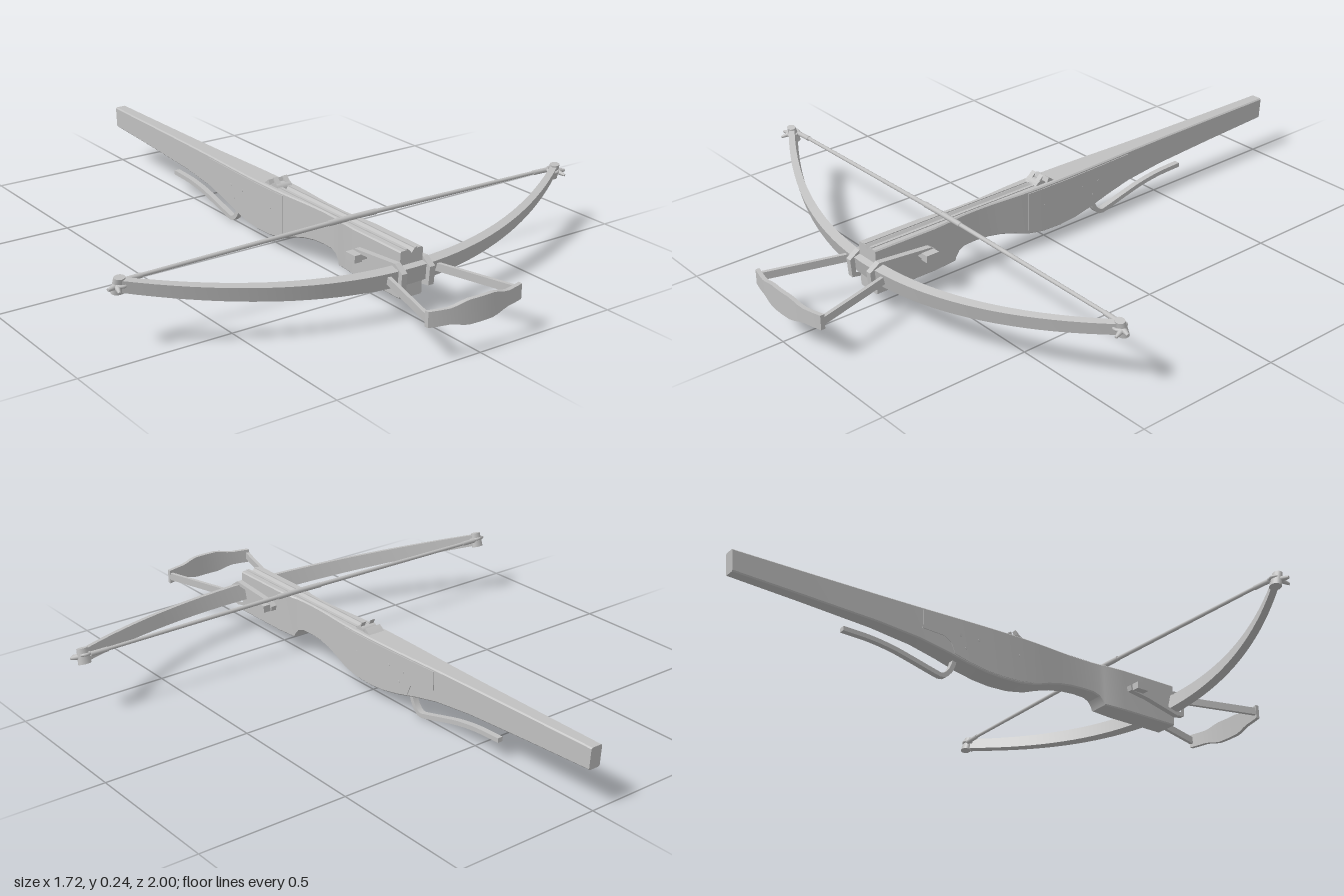
import * as THREE from 'three';
import { toCreasedNormals } from 'three/addons/utils/BufferGeometryUtils.js';

const V = (x, y, z) => new THREE.Vector3(x, y, z);
const CORNERS = [[-1, -1], [1, -1], [1, 1], [-1, 1]];

// Skin over rings of points (counter-clockwise seen from the travel direction), capped at both ends
function loft(rings) {
  const pos = [];
  const tri = (a, b, c) => pos.push(...a.toArray(), ...b.toArray(), ...c.toArray());
  const n = rings[0].length;
  for (let r = 0; r < rings.length - 1; r++) {
    const A = rings[r], B = rings[r + 1];
    for (let i = 0; i < n; i++) {
      const j = (i + 1) % n;
      tri(A[i], A[j], B[j]);
      tri(A[i], B[j], B[i]);
    }
  }
  const S = rings[0], E = rings[rings.length - 1];
  for (let i = 1; i < n - 1; i++) {
    tri(S[0], S[i + 1], S[i]);
    tri(E[0], E[i], E[i + 1]);
  }
  const g = new THREE.BufferGeometry();
  g.setAttribute('position', new THREE.Float32BufferAttribute(pos, 3));
  return toCreasedNormals(g, 0.5);
}

// Flat side profile given as [z, y] points, extruded across x and centred on x = 0
function sideExtrude(outline, width, hole) {
  const flat = (pts) => pts.map(([z, y]) => new THREE.Vector2(-z, y));
  const shape = new THREE.Shape(flat(outline));
  if (hole) shape.holes.push(new THREE.Path(flat(hole)));
  const g = new THREE.ExtrudeGeometry(shape, { depth: width, bevelEnabled: false });
  g.translate(0, 0, -width / 2);
  g.rotateY(Math.PI / 2);
  return toCreasedNormals(g, 0.5);
}

// Stock stations: z, half width, underside height
const STOCK = [
  [-0.995, 0.021, 0.137], [-0.75, 0.024, 0.127], [-0.5, 0.028, 0.115], [-0.35, 0.032, 0.1],
  [-0.25, 0.036, 0.08], [-0.17, 0.039, 0.06], [-0.1, 0.041, 0.048], [-0.04, 0.042, 0.043],
  [0.03, 0.042, 0.045], [0.05, 0.042, 0.048], [0.1, 0.04, 0.057], [0.15, 0.037, 0.075], [0.2, 0.033, 0.089],
  [0.25, 0.03, 0.097], [0.3, 0.029, 0.1], [0.345, 0.03, 0.099], [0.37, 0.032, 0.09],
  [0.385, 0.034, 0.072], [0.39, 0.036, 0.062], [0.47, 0.042, 0.061], [0.69, 0.042, 0.06],
];
const TOP = 0.21;

function stockRing([z, w, b]) {
  const c = 0.004, groove = z > 0.04 ? 0.012 : 0;
  // The butt end leans back a little towards the top
  const zAt = (y) => (z < -0.9 ? z - 0.005 * (y - b) / (TOP - b) : z);
  return [
    [0, TOP - groove], [-0.01, TOP], [-w + c, TOP], [-w, TOP - c], [-w, b + c], [-w + c, b],
    [w - c, b], [w, b + c], [w, TOP - c], [w - c, TOP], [0.01, TOP],
  ].map(([x, y]) => V(x, y, zAt(y)));
}

// Lock cover stations: z, half width, lower edge
const COVER = [
  [-0.34, 0.0325, 0.138], [-0.26, 0.0357, 0.132], [-0.235, 0.0367, 0.115], [-0.22, 0.0372, 0.08],
  [-0.17, 0.039, 0.066], [-0.1, 0.041, 0.053], [-0.04, 0.042, 0.049], [0.03, 0.042, 0.051], [0.085, 0.0406, 0.06],
  [0.1, 0.04, 0.072],
];

export function createModel() {
  const model = new THREE.Group();
  const grey = new THREE.MeshStandardMaterial({ color: 0xc0c0c0 });
  grey.name = 'grey';

  const add = (parent, name, geometry, x = 0, y = 0, z = 0) => {
    const m = new THREE.Mesh(geometry, grey);
    m.name = name;
    m.position.set(x, y, z);
    parent.add(m);
    return m;
  };
  const box = (parent, name, w, h, d, x, y, z) => add(parent, name, new THREE.BoxGeometry(w, h, d), x, y, z);
  // Straight round rod between two points
  const rod = (parent, name, a, b, r1, r2 = r1) => {
    const d = b.clone().sub(a);
    const m = add(parent, name, new THREE.CylinderGeometry(r2, r1, d.length(), 10));
    m.position.copy(a).addScaledVector(d, 0.5);
    m.quaternion.setFromUnitVectors(V(0, 1, 0), d.normalize());
    return m;
  };

  // Stock with a bolt groove on its front half, and a cover standing slightly proud of the lock
  add(model, 'stock', loft(STOCK.map(stockRing)));
  add(model, 'lockCover', loft(COVER.map(([z, w, b]) =>
    CORNERS.map(([sx, sy]) => V(sx * (w + 0.0025), sy < 0 ? b : 0.202, z)))));

  // Raised rails beside the groove
  for (const s of [1, -1]) box(model, 'boltRail', 0.01, 0.004, 0.63, s * 0.017, 0.2105, 0.374);

  // Release nut and rear sight
  const nut = add(model, 'nut', new THREE.CylinderGeometry(0.02, 0.02, 0.056, 20), 0, 0.203, 0.035);
  nut.rotation.z = Math.PI / 2;
  for (const s of [1, -1]) {
    add(model, 'nutClaw', sideExtrude([[0.055, 0.21], [0.025, 0.238], [0.037, 0.21]], 0.018), s * 0.018);
  }
  add(model, 'rearSight', sideExtrude([[0.012, 0.208], [0.004, 0.226], [-0.006, 0.219], [-0.02, 0.208]], 0.06));

  // Pins across the lock
  for (const [z, y, w] of [[0.03, 0.14, 0.091], [-0.13, 0.15, 0.088], [-0.2, 0.15, 0.084], [-0.18, 0.11, 0.085]]) {
    rod(model, 'lockPin', V(-w / 2, y, z), V(w / 2, y, z), 0.005);
  }

  // Long curved trigger lever
  const path = new THREE.CatmullRomCurve3([
    [0.085, -0.2], [0.055, -0.207], [0.027, -0.222], [0.01, -0.245], [0.016, -0.28],
    [0.034, -0.35], [0.053, -0.43], [0.064, -0.51], [0.068, -0.61],
  ].map(([y, z]) => V(0, y, z)));
  const leverRings = path.getSpacedPoints(32).map((p, i) => {
    const t = path.getTangentAt(i / 32);
    const n = V(0, t.z, -t.y).multiplyScalar(0.0075);
    return CORNERS.map(([sx, sn]) => V(sx * 0.01, p.y + n.y * sn, p.z + n.z * sn));
  });
  add(model, 'triggerLever', loft(leverRings));

  // Bow, built flat and then tilted so that the tips rise
  const bow = new THREE.Group();
  bow.name = 'bow';
  bow.position.set(0, 0.137, 0.688);
  bow.rotation.x = 0.255;
  model.add(bow);
  const bowZ = (x) => -0.275 * (x / 0.82) ** 2;
  const limbRings = [];
  for (let i = -20; i <= 20; i++) {
    const x = i * 0.041, k = Math.abs(i) / 20;
    const h = 0.029 - 0.009 * k, t = 0.017 - 0.007 * k;
    const n = V(0.55 * x / 0.82 ** 2, 0, 1).normalize().multiplyScalar(t);
    limbRings.push(CORNERS.map(([sy, sn]) => V(x + n.x * sn, h * sy, bowZ(x) + n.z * sn)));
  }
  add(bow, 'limbs', loft(limbRings));

  // Nocks with small horns at the limb tips
  for (const s of [1, -1]) {
    const tip = V(s * 0.82, 0, bowZ(0.82));
    const knob = add(bow, 'nock', new THREE.CylinderGeometry(0.013, 0.016, 0.05, 16), tip.x, tip.y, tip.z);
    knob.scale.x = 1.4;
    rod(bow, 'outerHorn', tip, V(s * 0.86, 0, tip.z + 0.012), 0.012, 0.005);
    rod(bow, 'frontHorn', V(s * 0.828, 0, tip.z), V(s * 0.838, 0, tip.z + 0.038), 0.011, 0.004);
  }

  // Bowstring with end loops and a served middle
  for (const s of [1, -1]) {
    rod(model, 'string', V(0, 0.219, 0.407), V(s * 0.78, 0.211, 0.41), 0.0075, 0.006);
    rod(model, 'stringServing', V(0, 0.219, 0.407), V(s * 0.09, 0.218, 0.407), 0.009);
    rod(model, 'stringEnd', V(s * 0.74, 0.211, 0.41), V(s * 0.8, 0.21, 0.412), 0.008);
    const loop = add(model, 'stringLoop', new THREE.TorusGeometry(0.018, 0.005, 8, 20), s * 0.815, 0.21, 0.424);
    loop.rotation.x = Math.PI / 2 + 0.255;
  }

  // Iron straps that tie the bow to the stock, with their wedge
  for (const s of [1, -1]) {
    add(model, 'bowStrap', sideExtrude(
      [[0.72, 0.095], [0.725, 0.155], [0.69, 0.178], [0.5, 0.162], [0.482, 0.15], [0.486, 0.133], [0.56, 0.122], [0.69, 0.09]],
      0.02,
      [[0.706, 0.108], [0.708, 0.152], [0.685, 0.165], [0.51, 0.151], [0.505, 0.143], [0.565, 0.134], [0.685, 0.103]],
    ), s * 0.052);
    box(model, 'wedgeHead', 0.028, 0.024, 0.046, s * 0.075, 0.144, 0.514);
  }
  box(model, 'wedge', 0.12, 0.016, 0.03, 0, 0.144, 0.52);

  // Foot stirrup: two arms and a curved tread that widens in the middle
  const stirrup = new THREE.Group();
  stirrup.name = 'stirrup';
  model.add(stirrup);
  for (const s of [1, -1]) {
    const a = V(s * 0.088, 0.137, 0.69), b = V(s * 0.166, 0.137, 0.965);
    const d = b.clone().sub(a);
    const arm = box(stirrup, 'stirrupArm', 0.012, 0.025, d.length(), (a.x + b.x) / 2, 0.137, (a.z + b.z) / 2);
    arm.rotation.y = Math.atan2(d.x, d.z);
  }
  const treadRings = [];
  for (let i = -8; i <= 8; i++) {
    const x = i * 0.0215, z = 0.992 - 0.026 * (i / 8) ** 2;
    const h = 0.024 + 0.014 * THREE.MathUtils.smoothstep(-Math.abs(x), -0.11, -0.04);
    treadRings.push(CORNERS.map(([sy, sz]) => V(x, 0.136 + h * sy, z + 0.007 * sz)));
  }
  add(stirrup, 'stirrupTread', loft(treadRings));

  return model;
}
